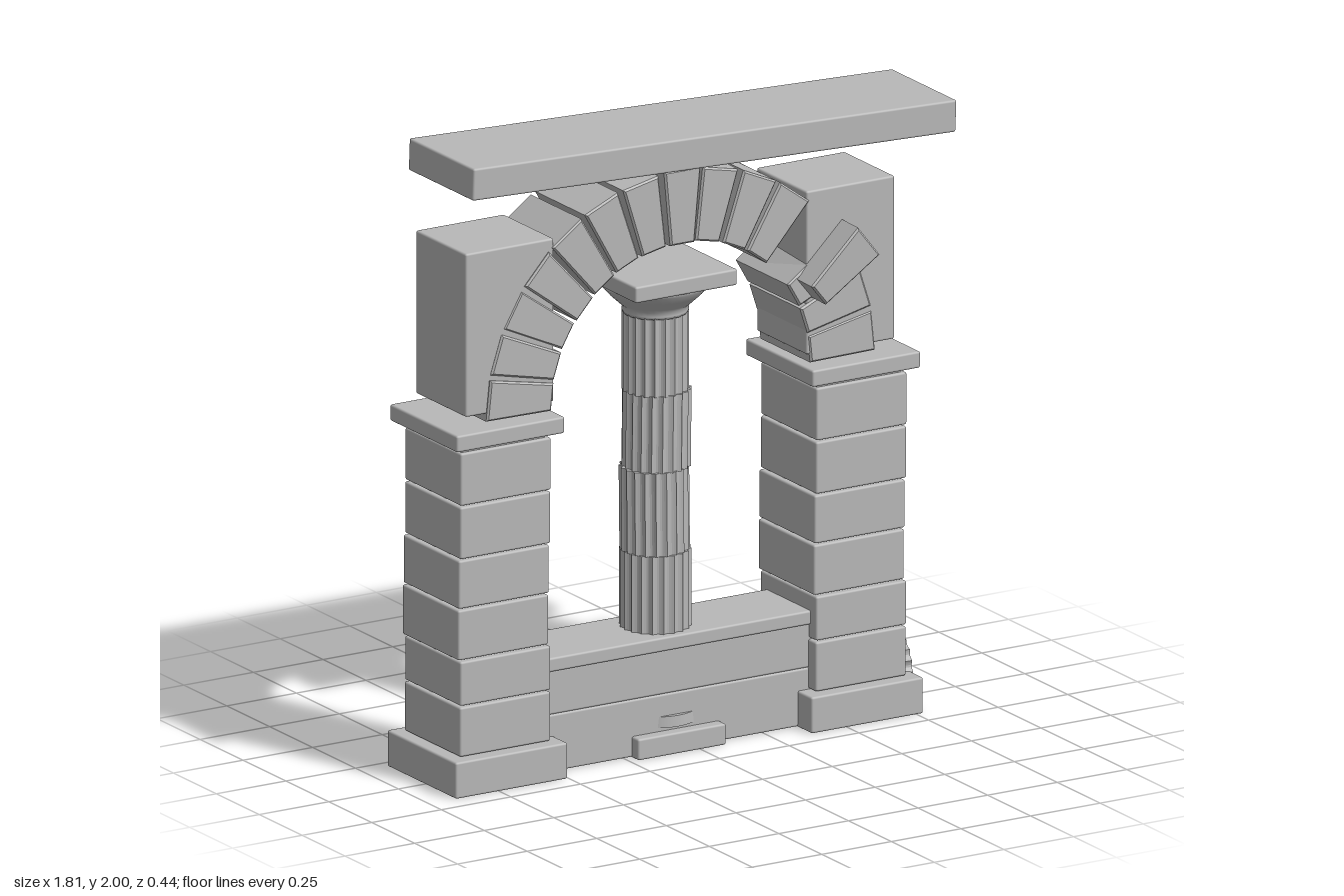
import * as THREE from 'three';
import { RoundedBoxGeometry } from 'three/addons/geometries/RoundedBoxGeometry.js';

export function createModel() {
  const model = new THREE.Group();
  model.name = 'ruinedArch';
  const stone = new THREE.MeshStandardMaterial({ color: 0xb8b8b8 });
  stone.name = 'grey stone';

  // Arch axis sits slightly off the middle of the overall bounds
  const ruin = new THREE.Group();
  ruin.name = 'ruin';
  ruin.position.set(-0.067, 0, -0.017);
  model.add(ruin);

  const add = (name, geometry, x = 0, y = 0, z = 0) => {
    const mesh = new THREE.Mesh(geometry, stone);
    mesh.name = name;
    mesh.position.set(x, y, z);
    ruin.add(mesh);
    return mesh;
  };
  // Softly bevelled block given by its bottom and top heights
  const block = (name, w, y0, y1, d, x = 0, z = 0) =>
    add(name, new RoundedBoxGeometry(w, y1 - y0, d, 2, 0.007), x, (y0 + y1) / 2, z);

  // Piers: plinth, six courses, neck, cap and the spandrel block above
  const courses = [
    [0.118, 0.276, 0], [0.281, 0.422, 0.001], [0.427, 0.587, -0.005],
    [0.592, 0.746, -0.003], [0.751, 0.917, 0.001], [0.922, 1.09, 0.002],
  ];
  for (const side of [-1, 1]) {
    const x = side * 0.639;
    block('pierPlinth', 0.402, 0, 0.116, 0.402, x);
    courses.forEach(([y0, y1, shift]) =>
      block('pierCourse', 0.325, y0, y1, 0.327, x + shift, shift / 2));
    block('pierNeck', 0.305, 1.08, 1.112, 0.305, x);
    block('pierCap', 0.388, 1.107, 1.16, 0.392, x);
    block('spandrelBlock', 0.317, 1.197, 1.72, 0.292, side * 0.612);
  }

  // Sill between the piers
  block('sillLower', 1.2, 0.002, 0.185, 0.24);
  block('sillUpper', 1.2, 0.185, 0.327, 0.24);
  block('sillTop', 1.2, 0.325, 0.37, 0.26);

  // Column footing, half buried in the sill
  block('columnPlinth', 0.316, 0, 0.068, 0.316);
  add('columnBase', new THREE.CylinderGeometry(0.135, 0.137, 0.035, 32), 0, 0.097, 0);

  // Arch stone: tapered wedge pointing along +y, centred on its own middle
  const SPRING = 1.165, INNER = 0.465, OUTER = 0.697, STEP = Math.PI / 15;
  const wedge = (outer, depth) => {
    const bevel = 0.006, half = Math.tan(STEP * 0.445), mid = (INNER + OUTER) / 2;
    const a = INNER + bevel, b = outer - bevel;
    const shape = new THREE.Shape([
      new THREE.Vector2(-a * half + bevel, a - mid),
      new THREE.Vector2(a * half - bevel, a - mid),
      new THREE.Vector2(b * half - bevel, b - mid),
      new THREE.Vector2(-b * half + bevel, b - mid),
    ]);
    const geometry = new THREE.ExtrudeGeometry(shape, {
      depth: depth - 2 * bevel, bevelSize: bevel, bevelThickness: bevel, bevelSegments: 1,
    });
    return geometry.translate(0, 0, -depth / 2 + bevel);
  };
  for (let i = 0; i < 15; i++) {
    if (i === 3) continue; // this stone has slipped
    const angle = (i + 0.5) * STEP, r = (INNER + OUTER) / 2, key = i === 7;
    const stoneMesh = add(key ? 'keystone' : 'archStone',
      wedge(key ? 0.706 : OUTER, key ? 0.325 : 0.3 + 0.005 * (i % 3)),
      Math.cos(angle) * r, SPRING + Math.sin(angle) * r, 0);
    stoneMesh.rotation.z = angle - Math.PI / 2;
  }
  const slipped = add('slippedArchStone', wedge(OUTER, 0.3), 0.53, 1.49, 0.087);
  slipped.rotation.set(0.04, 0.03, 0.68 - Math.PI / 2);

  // Fluted drum standing on y = 0
  const drum = (radius, height) => {
    const points = [], flutes = 20, per = 5;
    for (let i = 0; i < flutes * per; i++) {
      const a = (i / (flutes * per)) * Math.PI * 2;
      const r = radius - 0.009 * Math.sin(((i % per) / per) * Math.PI);
      points.push(new THREE.Vector2(Math.cos(a) * r, Math.sin(a) * r));
    }
    const geometry = new THREE.ExtrudeGeometry(new THREE.Shape(points),
      { depth: height, bevelEnabled: false });
    return geometry.rotateX(-Math.PI / 2);
  };

  // Column shaft: four slightly shifted drums
  const drums = [
    [0.365, 0.618, 0.111, 0, 0], [0.618, 0.885, 0.108, -0.002, 0.012],
    [0.882, 1.128, 0.107, 0.003, -0.015], [1.126, 1.38, 0.103, 0, 0],
  ];
  drums.forEach(([y0, y1, r, shift, tilt], i) => {
    const mesh = add('columnDrum', drum(r, y1 - y0), shift, y0, 0);
    mesh.rotation.set(0, i * 0.13, tilt);
  });

  // Column capital
  const profile = [[0, 1.375], [0.1, 1.375], [0.104, 1.385], [0.1, 1.397],
    [0.115, 1.41], [0.145, 1.438], [0.167, 1.463], [0.168, 1.478], [0, 1.478]];
  const echinus = add('columnEchinus',
    new THREE.LatheGeometry(profile.map(([x, y]) => new THREE.Vector2(x, y)), 32));
  echinus.rotation.y = 0;
  block('columnAbacus', 0.366, 1.475, 1.527, 0.366);

  // Fallen drum lying through the foot of the right-hand pier
  const fallen = new THREE.Group();
  fallen.name = 'fallenDrum';
  fallen.position.set(0.857, 0.113, 0.017);
  fallen.rotation.y = -0.09;
  const fallenMesh = new THREE.Mesh(drum(0.112, 0.55), stone);
  fallenMesh.name = 'fallenDrumStone';
  fallenMesh.rotation.z = Math.PI / 2;
  fallen.add(fallenMesh);
  ruin.add(fallen);

  // Tilted lintel slab resting on top
  const lintel = block('lintelSlab', 1.737, 1.868, 1.97, 0.378, 0.102, -0.006);
  lintel.rotation.z = -0.036;

  return model;
}
